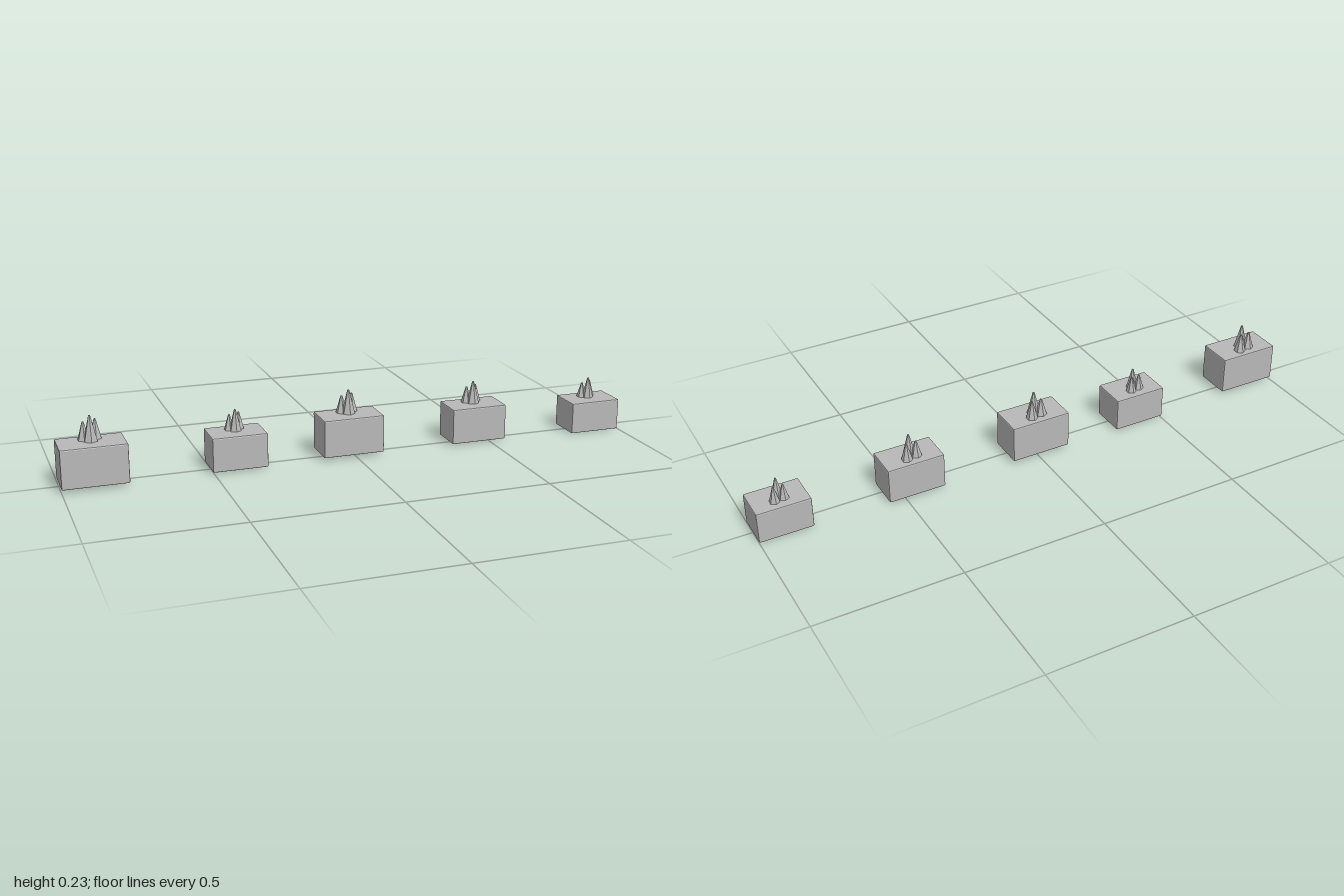
import * as THREE from 'three';
import { RoundedBoxGeometry } from 'three/addons/geometries/RoundedBoxGeometry.js';

// Each block: x range, y range, z range
const BLOCKS = [
  { x: [-1.0, -0.781], y: [0.011, 0.145], z: [-0.052, 0.075] },
  { x: [-0.504, -0.315], y: [0.005, 0.123], z: [-0.069, 0.056] },
  { x: [-0.117, 0.097], y: [0.01, 0.141], z: [-0.071, 0.053] },
  { x: [0.357, 0.558], y: [0.005, 0.13], z: [-0.075, 0.046] },
  { x: [0.815, 1.0], y: [0.0, 0.111], z: [-0.063, 0.062] },
];

// Spikes of one cluster, relative to a block 0.2 wide: offset, radius, height
const SPIKES = [
  { name: 'tallSpike', x: 0, z: -0.004, r: 0.022, h: 0.078 },
  { name: 'rightSpike', x: -0.018, z: -0.019, r: 0.019, h: 0.056 },
  { name: 'leftSpike', x: 0.018, z: -0.026, r: 0.019, h: 0.06 },
];

export function createModel() {
  const model = new THREE.Group();
  model.name = 'spikedBlocks';
  const stone = new THREE.MeshStandardMaterial({ color: 0xb8b8b8, flatShading: true });
  stone.name = 'grey stone';

  for (const { x, y, z } of BLOCKS) {
    const mid = ([a, b]) => (a + b) / 2;
    const size = ([a, b]) => b - a;
    const spikedBlock = new THREE.Group();
    spikedBlock.name = 'spikedBlock';
    spikedBlock.position.set(mid(x), y[0], mid(z));

    // Block with narrow bevelled edges
    const block = new THREE.Mesh(
      new RoundedBoxGeometry(size(x), size(y), size(z), 1, 0.004), stone);
    block.name = 'block';
    block.position.y = size(y) / 2;
    spikedBlock.add(block);

    // Cluster of blunt six-sided spikes on top
    const s = size(x) / 0.2;
    const cluster = new THREE.Group();
    cluster.name = 'spikeCluster';
    cluster.position.y = size(y);
    cluster.scale.setScalar(s);
    for (const p of SPIKES) {
      const spike = new THREE.Mesh(new THREE.CylinderGeometry(0.003, p.r, p.h, 6), stone);
      spike.name = p.name;
      spike.position.set(p.x, p.h / 2, p.z);
      cluster.add(spike);
    }
    spikedBlock.add(cluster);
    model.add(spikedBlock);
  }
  return model;
}
